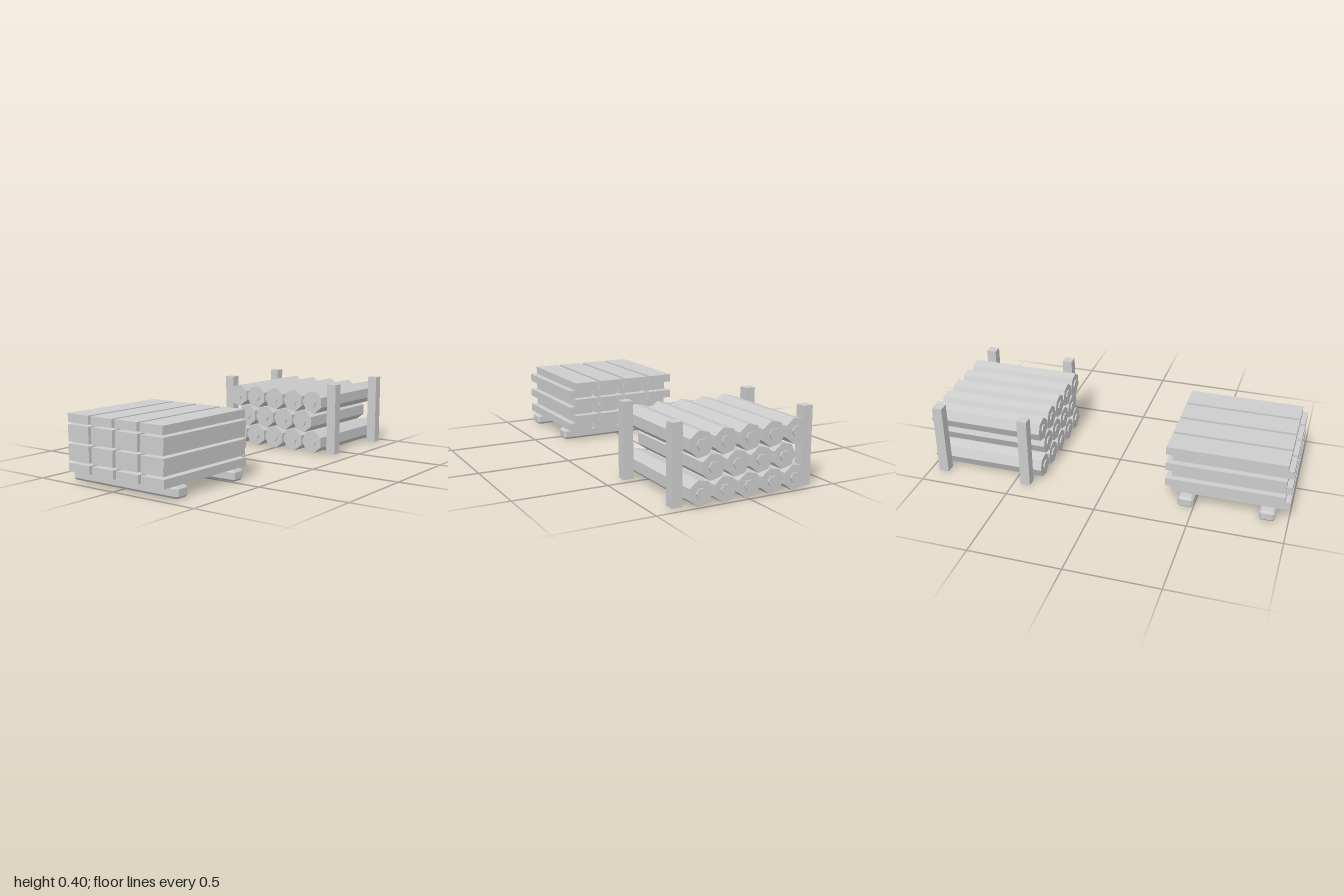
import * as THREE from 'three';
import { ConvexGeometry } from 'three/addons/geometries/ConvexGeometry.js';

const grey = new THREE.MeshStandardMaterial({ color: 0xcccccc, flatShading: true });
grey.name = 'plain grey';

function add(parent, name, geometry, x, y, z) {
  const mesh = new THREE.Mesh(geometry, grey);
  mesh.name = name;
  mesh.position.set(x, y, z);
  parent.add(mesh);
}

// Box with every edge cut at 45 degrees
function chamferedBox(w, h, d, c) {
  const points = [];
  for (const sx of [-1, 1]) for (const sy of [-1, 1]) for (const sz of [-1, 1]) {
    for (let axis = 0; axis < 3; axis++) {
      const inset = [0, 1, 2].map((i) => (i === axis ? 0 : c));
      points.push(new THREE.Vector3(
        sx * (w / 2 - inset[0]), sy * (h / 2 - inset[1]), sz * (d / 2 - inset[2])));
    }
  }
  return new ConvexGeometry(points);
}

// Prism lying along x, with its first corner at angle start
function prismAlongX(radius, length, sides, start) {
  return new THREE.CylinderGeometry(radius, radius, length, sides, 1, false, start)
    .rotateZ(Math.PI / 2);
}

function plankStack() {
  const stack = new THREE.Group();
  stack.name = 'plankStack';

  // Two bearers on the ground
  const bearer = chamferedBox(0.084, 0.06, 0.69, 0.012);
  for (const x of [-0.889, -0.457]) add(stack, 'bearer', bearer, x, 0.03, 0);

  // Six layers of four planks, shifted to and fro
  const plank = new THREE.BoxGeometry(0.63, 0.0445, 0.142);
  for (let layer = 0; layer < 6; layer++) {
    const odd = layer % 2 === 1;
    for (let i = 0; i < 4; i++) {
      add(stack, 'plank', plank, odd ? -0.657 : -0.685, 0.083 + layer * 0.0485,
        (i - 1.5) * 0.161 + (odd ? -0.0145 : 0.0145));
    }
  }
  return stack;
}

function logPile() {
  const pile = new THREE.Group();
  pile.name = 'logPile';
  const cx = 0.6765;

  // Seven-sided logs in rows of five, four and five, each with a heartwood core
  const log = prismAlongX(0.066, 0.632, 7, Math.PI);
  const core = prismAlongX(0.028, 0.647, 6, 0);
  [5, 4, 5].forEach((count, row) => {
    for (let i = 0; i < count; i++) {
      const y = 0.067 + row * 0.116;
      const z = (i - (count - 1) / 2) * 0.1325;
      add(pile, 'log', log, cx, y, z);
      add(pile, 'logCore', core, cx, y, z);
    }
  });

  // Four corner posts
  const post = new THREE.BoxGeometry(0.055, 0.403, 0.055);
  for (const sx of [-1, 1]) for (const sz of [-1, 1]) {
    add(pile, 'post', post, cx + sx * 0.245, 0.2015, sz * 0.365);
  }
  return pile;
}

export function createModel() {
  const model = new THREE.Group();
  model.name = 'timberStacks';
  model.add(plankStack(), logPile());
  return model;
}
